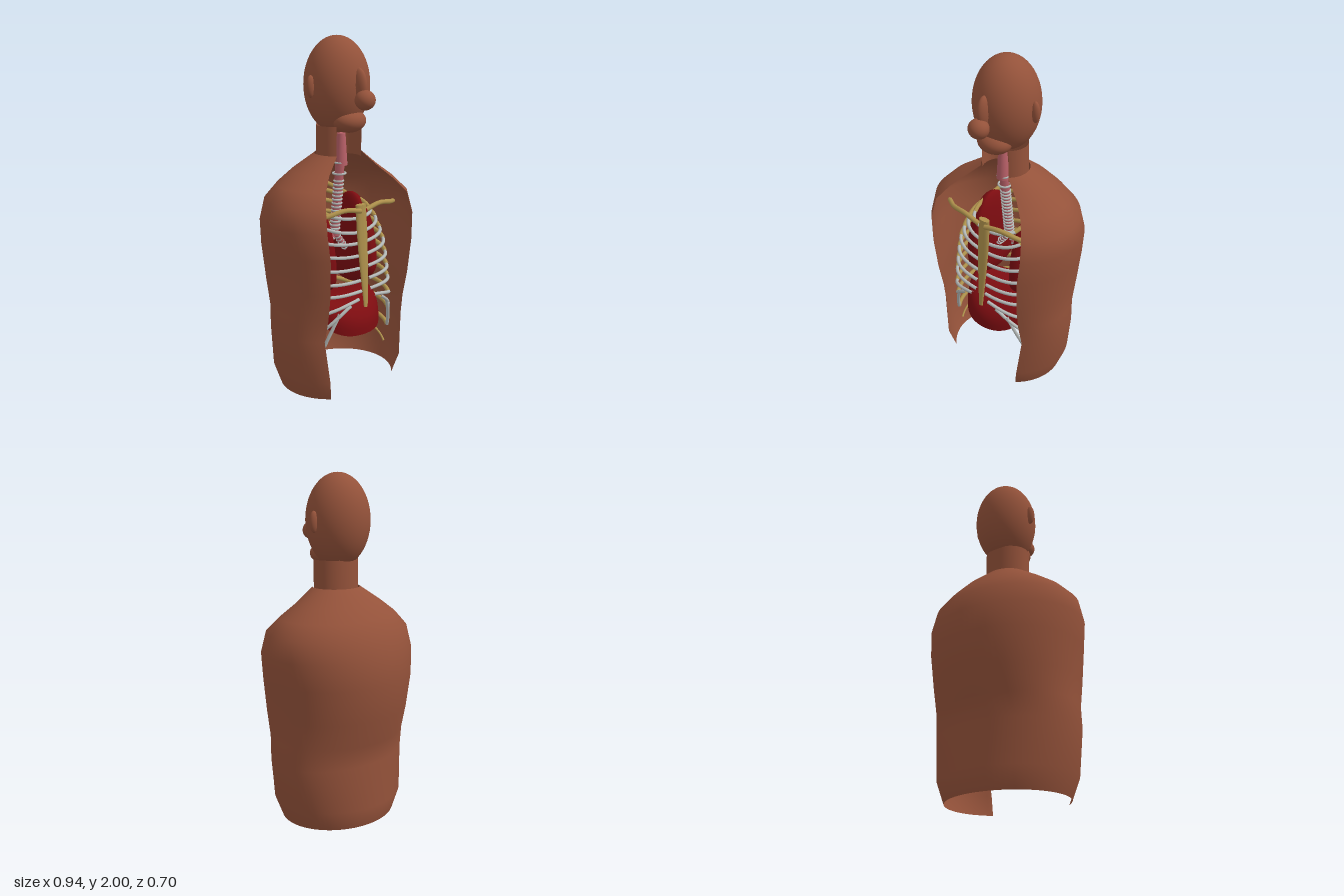
import * as THREE from 'three';

const mat = (name, color, side = THREE.FrontSide) => {
  const m = new THREE.MeshStandardMaterial({ color, side });
  m.name = name;
  return m;
};
const V = (x, y, z) => new THREE.Vector3(x, y, z);
const { lerp, degToRad, clamp } = THREE.MathUtils;

// Open wall lofted through rings [y, rx, rz, cz], with a gap facing the front
function openShell(rings, gap = Math.PI / 4, n = 64) {
  const pos = [], idx = [];
  rings.forEach(([y, rx, rz, cz], i) => {
    for (let j = 0; j <= n; j++) {
      const t = lerp(gap, 2 * Math.PI - gap, j / n);
      pos.push(rx * Math.sin(t), y, cz + rz * Math.cos(t));
      if (i < rings.length - 1 && j < n) {
        const a = i * (n + 1) + j, b = a + n + 1;
        idx.push(a, a + 1, b, a + 1, b + 1, b);
      }
    }
  });
  const g = new THREE.BufferGeometry();
  g.setAttribute('position', new THREE.Float32BufferAttribute(pos, 3));
  g.setIndex(idx);
  g.computeVertexNormals();
  return g;
}

// Moves every vertex of a geometry by a rule
function reshape(g, rule) {
  const p = g.attributes.position, v = V(0, 0, 0);
  for (let i = 0; i < p.count; i++) {
    rule(v.fromBufferAttribute(p, i));
    p.setXYZ(i, v.x, v.y, v.z);
  }
  g.computeVertexNormals();
  return g;
}

export function createModel() {
  const model = new THREE.Group();
  const skin = mat('skin', 0x94523a);
  const skinOpen = mat('skin shell', 0x94523a, THREE.DoubleSide);
  skinOpen.color = skin.color;
  const bone = mat('bone', 0xae914c);
  const cartilage = mat('cartilage', 0xb4b8b6);
  const airway = mat('airway', 0xb86068);
  const organ = mat('organ', 0x7c0c10, THREE.DoubleSide);

  const add = (name, g, m, parent = model) => {
    const mesh = new THREE.Mesh(g, m);
    mesh.name = name;
    parent.add(mesh);
    return mesh;
  };
  const group = (name) => {
    const g = new THREE.Group();
    g.name = name;
    model.add(g);
    return g;
  };
  const blob = (name, c, r, parent) => {
    const m = add(name, new THREE.SphereGeometry(1, 40, 28), skin, parent);
    m.position.set(...c);
    m.scale.set(...r);
    return m;
  };
  const tube = (name, pts, r, m, parent) => add(name,
    new THREE.TubeGeometry(new THREE.CatmullRomCurve3(pts), 28, r, 8), m, parent);

  // Torso wall and neck, both open at the front
  add('torso', openShell([
    [0, 0.355, 0.31, 0.06], [0.12, 0.4, 0.348, 0.063], [0.37, 0.437, 0.317, 0.066],
    [0.5, 0.425, 0.346, 0.066], [0.65, 0.435, 0.384, 0.064], [0.85, 0.452, 0.41, 0.06],
    [1.0, 0.471, 0.393, 0.062], [1.12, 0.448, 0.354, 0.06], [1.2, 0.37, 0.283, 0.05],
    [1.27, 0.27, 0.217, 0.047], [1.36, 0.14, 0.13, 0.07],
  ]), skinOpen);
  add('neck', openShell([[1.33, 0.135, 0.117, 0.072], [1.52, 0.135, 0.117, 0.072]]), skinOpen);

  // Head
  const head = group('head');
  blob('skull', [0, 1.735, 0.055], [0.183, 0.265, 0.185], head);
  blob('noseBridge', [0, 1.74, 0.225], [0.034, 0.095, 0.055], head);
  blob('noseTip', [0, 1.667, 0.275], [0.058, 0.054, 0.055], head);
  blob('mouthAndChin', [0, 1.545, 0.155], [0.1, 0.065, 0.085], head);
  for (const s of [1, -1]) blob('ear', [s * 0.185, 1.735, 0.048], [0.027, 0.06, 0.022], head);

  // Breastbone, leaning forward towards its lower tip
  const sternum = add('breastbone', new THREE.CylinderGeometry(0.036, 0.014, 0.59, 16, 8), bone);
  reshape(sternum.geometry, (v) => {
    const k = (v.y + 0.295) / 0.59;
    v.x *= 1 + 0.35 * Math.sin(Math.PI * k);
    v.z = v.z * 0.5 + lerp(0.3, 0.25, k);
    v.y += 0.795;
  });

  // Spine
  const spine = group('spine');
  for (let i = 0; i < 18; i++) {
    const y = 0.3 + i * 0.046;
    add('vertebra', new THREE.CylinderGeometry(0.03, 0.03, 0.036, 16), bone, spine).position.set(0, y, -0.17);
    add('spinousProcess', new THREE.BoxGeometry(0.012, 0.02, 0.05), bone, spine).position.set(0, y, -0.215);
  }

  // Ribs: [half width, front height of bone, height at end of cartilage, end angle]
  const ribs = [
    [0.17, 1.03, 1.01, 178], [0.22, 0.97, 0.93, 178], [0.255, 0.9, 0.87, 178],
    [0.28, 0.83, 0.8, 178], [0.292, 0.75, 0.73, 178], [0.298, 0.67, 0.66, 178],
    [0.3, 0.6, 0.6, 178], [0.3, 0.5, 0.56, 175], [0.3, 0.4, 0.535, 166], [0.295, 0.29, 0.5, 150],
  ];
  const cage = group('ribCage');
  const ribPoint = (s, rx, front, deg, y) => {
    const a = degToRad(deg), c = -Math.cos(a), rz = (front + 0.19) / 2;
    return V(s * rx * Math.sin(a) ** 0.65, y,
      front - rz + rz * Math.sign(c) * Math.abs(c) ** 0.65);
  };
  const ribRun = (s, rx, front, d0, d1, y0, y1) => Array.from({ length: 15 }, (_, i) => {
    const k = i / 14;
    return ribPoint(s, rx, front, lerp(d0, d1, k), lerp(y0, y1, k));
  });
  for (const s of [1, -1]) {
    ribs.forEach(([rx, y, yEnd, end], i) => {
      const front = clamp(0.235 + i * 0.01, 0, 0.305);
      tube('rib', ribRun(s, rx, front, 6, 124, y + 0.13, y), 0.013, bone, cage);
      tube('ribCartilage', ribRun(s, rx, front, 123, end, y, yEnd), 0.01, cartilage, cage);
    });
    tube('floatingRib', ribRun(s, 0.29, 0.29, 6, 118, 0.42, 0.17), 0.006, bone, cage);
    tube('collarbone', [V(s * 0.02, 1.06, 0.27), V(s * 0.13, 1.08, 0.265),
      V(s * 0.25, 1.06, 0.235), V(s * 0.34, 1.04, 0.18)], 0.014, bone, cage);
  }

  // Lungs: tall rounded tops, flat bases, flatter towards the middle
  for (const s of [1, -1]) {
    add('lung', reshape(new THREE.SphereGeometry(1, 40, 30), (v) => {
      v.x = s * 0.15 + v.x * (v.x * s > 0 ? 0.12 : 0.065);
      v.y = 0.68 + v.y * (v.y > 0 ? 0.42 : 0.13);
      v.z = 0.02 + v.z * 0.185;
    }), organ);
  }

  // Diaphragm: open dome with a rim that rises at the sides, and two lower strands
  add('diaphragm', reshape(new THREE.SphereGeometry(1, 48, 16, 0, 2 * Math.PI, 0, Math.PI / 2), (v) => {
    const side = v.x * v.x;
    v.y = 0.34 + 0.09 * side * side + 0.18 * Math.max(v.y, 0) ** 0.7 + 0.1 * side * Math.max(v.y, 0);
    v.x *= 0.24;
    v.z = 0.075 + v.z * 0.235;
  }), organ);
  for (const s of [1, -1]) {
    const low = s > 0 ? 0.27 : 0.245;
    tube('diaphragmStrand', [V(s * 0.045, low, -0.14), V(s * 0.045, 0.33, -0.14),
      V(s * 0.05, 0.43, -0.1)], 0.012, organ);
  }

  // Windpipe, voice box and bronchi
  const zAt = (y) => lerp(0.04, 0.1, (y - 0.88) / 0.57);
  const windpipe = group('windpipe');
  tube('trachea', [V(0, 0.87, zAt(0.87)), V(0, 1.1, zAt(1.1)), V(0, 1.32, zAt(1.32))], 0.026, airway, windpipe);
  const larynx = add('voiceBox', new THREE.CylinderGeometry(0.024, 0.036, 0.18, 20), airway, windpipe);
  larynx.position.set(0, 1.38, zAt(1.38));
  const ring = (name, y, r, t) => {
    const m = add(name, new THREE.TorusGeometry(r, t, 8, 24), cartilage, windpipe);
    m.rotation.x = Math.PI / 2;
    m.position.set(0, y, zAt(y));
  };
  for (let y = 0.91; y < 1.21; y += 0.022) ring('tracheaRing', y, 0.026, 0.006);
  for (const y of [1.24, 1.305]) ring('voiceBoxRing', y, 0.036, 0.006);
  for (const s of [1, -1]) {
    const pts = [V(0, 0.89, 0.04), V(s * 0.05, 0.82, 0.04), V(s * 0.13, 0.73, 0.03)];
    tube('bronchus', pts, 0.017, airway, windpipe);
    const curve = new THREE.CatmullRomCurve3(pts);
    for (let k = 0.2; k < 0.8; k += 0.12) {
      const m = add('bronchusRing', new THREE.TorusGeometry(0.018, 0.004, 6, 18), cartilage, windpipe);
      m.position.copy(curve.getPointAt(k));
      m.quaternion.setFromUnitVectors(V(0, 0, 1), curve.getTangentAt(k));
    }
  }
  return model;
}
